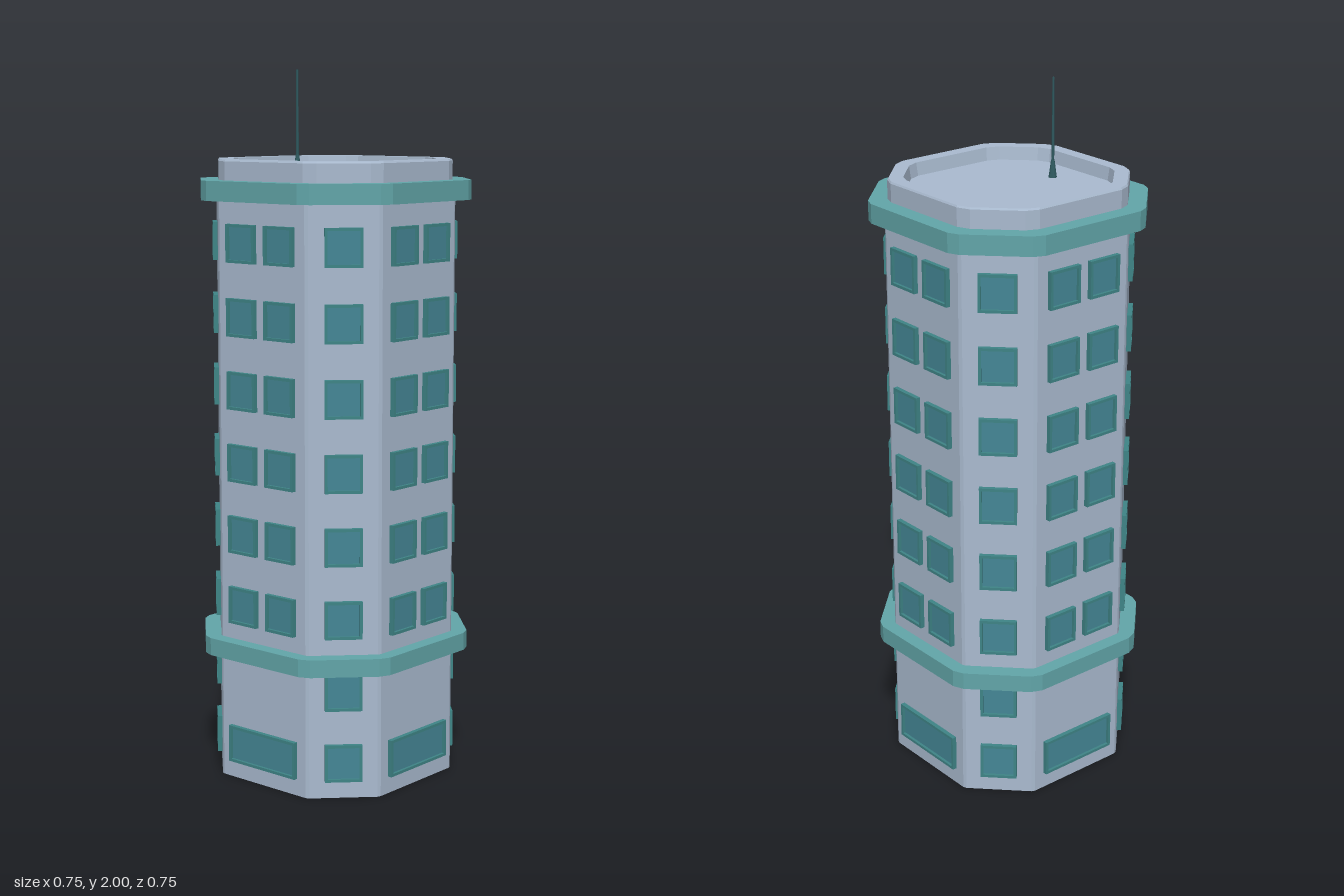
import * as THREE from 'three';

const mat = (color, side = THREE.FrontSide) =>
  new THREE.MeshStandardMaterial({ color, flatShading: true, side });
const wallMat = mat(0xaabbd0, THREE.DoubleSide);
const trimMat = mat(0x62a6a9);
const frameMat = mat(0x3f8587);
const glassMat = mat(0x458796);
const mastMat = mat(0x2f5a60);

// Octagon with bevelled corners: (h, a) ends a straight side, (k, m) ends a diagonal side
function outline([h, a, k, m]) {
  const pts = [];
  for (let q = 0; q < 4; q++) {
    const c = Math.cos(q * Math.PI / 2), s = Math.sin(q * Math.PI / 2);
    for (const [x, z] of [[h, a], [k, m], [m, k], [a, h]]) {
      pts.push([x * c + z * s, z * c - x * s]);
    }
  }
  return pts;
}

// Skin through stacked outlines given as [y, section]; optional flat cap on the last one
function loft(levels, cap = false) {
  const rows = levels.map(([y, sec]) => outline(sec).map(([x, z]) => [x, y, z]));
  const pos = [];
  const n = rows[0].length;
  for (let r = 0; r + 1 < rows.length; r++) {
    for (let i = 0; i < n; i++) {
      const j = (i + 1) % n;
      const [a, b, c, d] = [rows[r][i], rows[r][j], rows[r + 1][j], rows[r + 1][i]];
      pos.push(...a, ...b, ...c, ...a, ...c, ...d);
    }
  }
  if (cap) {
    const top = rows[rows.length - 1];
    for (let i = 1; i + 1 < n; i++) pos.push(...top[0], ...top[i], ...top[i + 1]);
  }
  const g = new THREE.BufferGeometry();
  g.setAttribute('position', new THREE.Float32BufferAttribute(pos, 3));
  g.computeVertexNormals();
  return g;
}

function add(parent, name, geometry, material) {
  const mesh = new THREE.Mesh(geometry, material);
  mesh.name = name;
  parent.add(mesh);
  return mesh;
}

// Rectangular frame standing proud of the wall
function frameGeometry(w, h) {
  const rect = (P, x, y) => new P([[-x, -y], [x, -y], [x, y], [-x, y]]
    .map(p => new THREE.Vector2(...p)));
  const shape = rect(THREE.Shape, w / 2, h / 2);
  shape.holes.push(rect(THREE.Path, w / 2 - 0.008, h / 2 - 0.008));
  return new THREE.ExtrudeGeometry(shape, { depth: 0.013, bevelEnabled: false });
}

const WIN_H = 0.106;
const windowKinds = [0.104, 0.25].map(w => ({
  frame: frameGeometry(w, WIN_H),
  glass: new THREE.PlaneGeometry(w - 0.014, WIN_H - 0.014),
}));

function addWindow(parent, kind, x, y, dist) {
  const g = new THREE.Group();
  g.name = 'window';
  g.position.set(x, y, dist);
  add(g, 'windowFrame', kind.frame, frameMat);
  add(g, 'windowGlass', kind.glass, glassMat).position.z = 0.005;
  parent.add(g);
}

export function createModel() {
  const model = new THREE.Group();
  model.name = 'tower';

  // Hollow wall shell, open underneath
  const wall = [0.095, 0.33, 0.105, 0.326];
  add(model, 'walls', loft([[0, wall], [1.67, wall]]), wallMat);

  // Ledges around the tower
  const ledgeOuter = [0.095, 0.375, 0.127, 0.362];
  const ledgeInner = [0.07, 0.315, 0.1, 0.303];
  for (const [name, y0, y1] of [['lowerLedge', 0.36, 0.41], ['upperLedge', 1.645, 1.7]]) {
    add(model, name, loft([[y0, ledgeInner], [y0, ledgeOuter], [y1, ledgeOuter],
      [y1, ledgeInner]]), trimMat);
  }

  // Parapet with a sunken roof
  const rim = [0.072, 0.325, 0.108, 0.31];
  const rimTop = [0.071, 0.322, 0.107, 0.307];
  add(model, 'parapetAndRoof', loft([[1.69, rim], [1.752, rim], [1.757, rimTop],
    [1.757, [0.056, 0.283, 0.091, 0.268]], [1.72, [0.054, 0.278, 0.089, 0.263]]], true), wallMat);

  // Windows: a single column on straight sides, pairs above a wide one on diagonals
  const rowY = i => 0.102 + i * 0.204;
  const [small, wide] = windowKinds;
  for (let side = 0; side < 8; side++) {
    const face = new THREE.Group();
    face.name = 'windowSide';
    face.rotation.y = side * Math.PI / 4;
    model.add(face);
    if (side % 2 === 0) {
      for (let i = 0; i < 8; i++) addWindow(face, small, 0, rowY(i), 0.33);
    } else {
      const dist = (wall[2] + wall[3]) / Math.SQRT2;
      addWindow(face, wide, 0, rowY(0), dist);
      for (let i = 2; i < 8; i++) {
        for (const x of [-0.07, 0.07]) addWindow(face, small, x, rowY(i), dist);
      }
    }
  }

  // Roof antenna
  const antenna = new THREE.Group();
  antenna.name = 'antenna';
  antenna.position.set(-0.11, 1.72, 0.11);
  model.add(antenna);
  add(antenna, 'antennaBase', new THREE.CylinderGeometry(0.005, 0.012, 0.05, 10), mastMat)
    .position.y = 0.025;
  add(antenna, 'antennaMast', new THREE.CylinderGeometry(0.003, 0.004, 0.24, 8), mastMat)
    .position.y = 0.16;

  return model;
}
